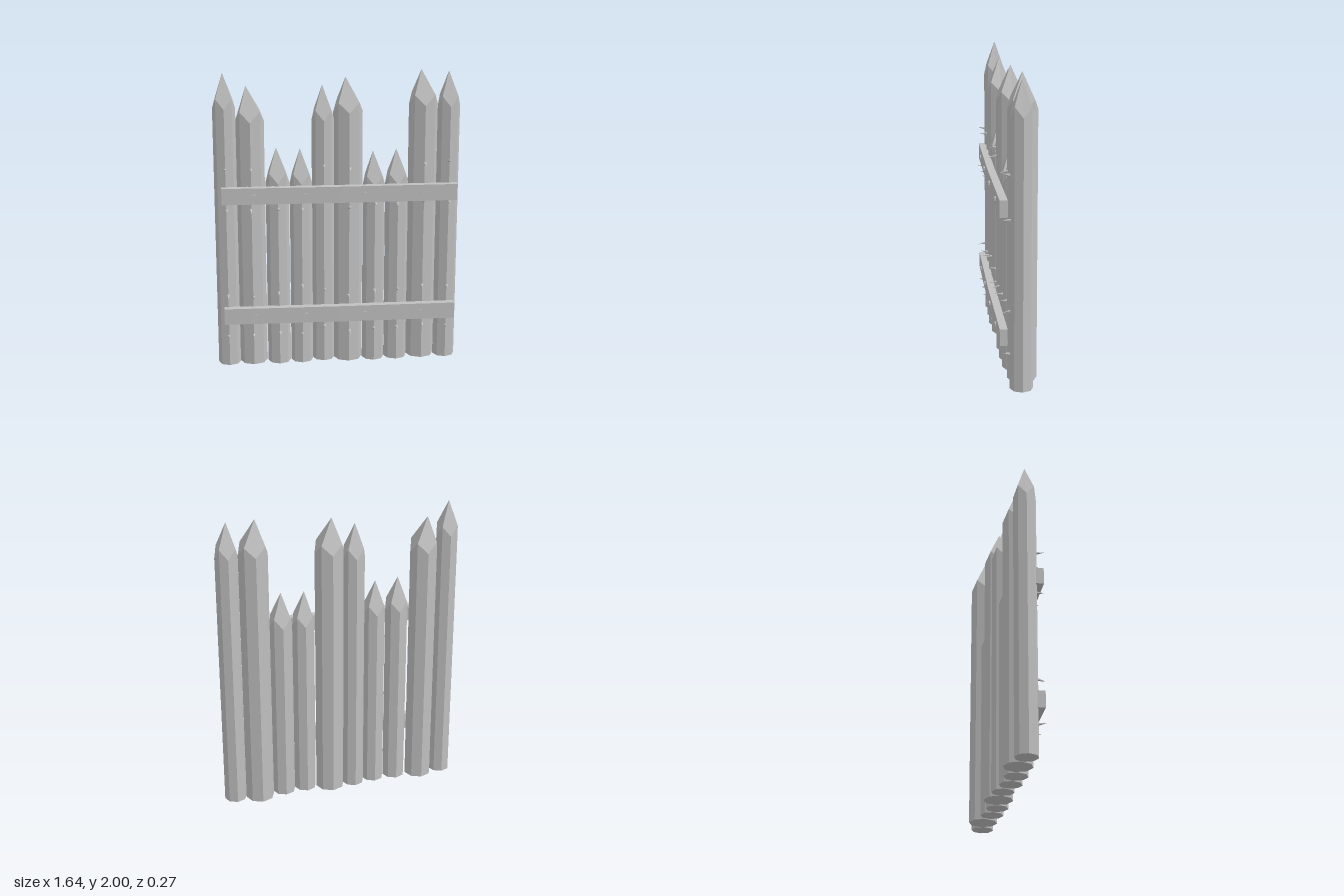
import * as THREE from 'three';

// post: centre x, centre z, radius, tip height, tip x
const POSTS = [
  [-0.745, -0.007, 0.075, 2.0, -0.75],
  [-0.578, -0.025, 0.094, 1.91, -0.6],
  [-0.402, -0.005, 0.078, 1.5, -0.408],
  [-0.245, -0.007, 0.075, 1.49, -0.25],
  [-0.095, -0.03, 0.075, 1.91, -0.1],
  [0.072, -0.03, 0.098, 1.96, 0.055],
  [0.245, -0.007, 0.075, 1.465, 0.237],
  [0.4, -0.015, 0.078, 1.475, 0.395],
  [0.577, -0.045, 0.097, 2.0, 0.56],
  [0.745, -0.023, 0.075, 1.99, 0.74],
];

// nail heights on each post, from bottom to top
const NAILS = [
  [0.215, 0.5, 1.095, 1.375],
  [0.215, 0.49, 1.095, 1.37],
  [0.225, 0.515, 1.1],
  [0.215, 0.56, 1.095],
  [0.26, 0.52, 1.135, 1.38],
  [0.22, 0.48, 1.1, 1.36],
  [0.24, 0.51, 1.12],
  [0.24, 0.515, 1.115],
  [0.245, 0.53, 1.125, 1.38],
  [0.235, 0.52, 1.115, 1.4],
];

// split all faces so every facet is flat
function faceted(geometry) {
  const flat = geometry.index ? geometry.toNonIndexed() : geometry;
  flat.computeVertexNormals();
  return flat;
}

// eight-sided post whose tip is cut by four planes
function postGeometry(r, height, tipShift) {
  const drop = 0.23;
  const profile = [[0, 0], [r, 0], [r, height - drop], [0, height]];
  const geometry = new THREE.LatheGeometry(profile.map(([x, y]) => new THREE.Vector2(x, y)), 8);
  const p = geometry.attributes.position;
  for (let i = 0; i < p.count; i++) {
    const row = i % 4;
    const corner = Math.floor(i / 4);
    if (row === 2 && corner % 2) p.setY(i, height - drop * Math.SQRT1_2);
    if (row === 3) p.setX(i, p.getX(i) + tipShift);
  }
  return faceted(geometry);
}

// the left half of each rail bends slightly back
const bend = (x) => (x < 0.05 ? 0.016 * (x - 0.05) : 0);

function railGeometry() {
  const geometry = new THREE.BoxGeometry(1.565, 0.11, 0.05, 2, 1, 1);
  const p = geometry.attributes.position;
  for (let i = 0; i < p.count; i++) p.setZ(i, p.getZ(i) + bend(p.getX(i)));
  return faceted(geometry);
}

export function createModel() {
  const model = new THREE.Group();
  model.name = 'palisade';
  const grey = new THREE.MeshStandardMaterial({ color: 0xc0c0c0 });
  grey.name = 'grey wood';

  function add(geometry, name, x, y, z) {
    const mesh = new THREE.Mesh(geometry, grey);
    mesh.name = name;
    mesh.position.set(x, y, z);
    model.add(mesh);
    return mesh;
  }

  // pointed nails stick out of the posts
  const nail = faceted(new THREE.ConeGeometry(0.015, 0.08, 6).rotateX(Math.PI / 2));

  POSTS.forEach(([x, z, r, height, tipX], i) => {
    add(postGeometry(r, height, tipX - x), 'post', x, 0, z);
    NAILS[i].forEach((y, k) => {
      const mesh = add(nail, 'nail', x + 0.004 * (((i + k) % 3) - 1), y, z + r + 0.01);
      mesh.rotation.x = 0.2 * (((i + 2 * k) % 3) - 1);
    });
  });

  // two rails with hexagonal bolts
  const rail = railGeometry();
  const bolt = faceted(new THREE.CylinderGeometry(0.018, 0.018, 0.02, 6).rotateX(Math.PI / 2));
  for (const y of [0.365, 1.2]) {
    add(rail, 'rail', 0.008, y, 0.095);
    for (const x of [-0.565, -0.225, 0.17, 0.555]) add(bolt, 'bolt', x, y, 0.118 + bend(x));
  }
  return model;
}
